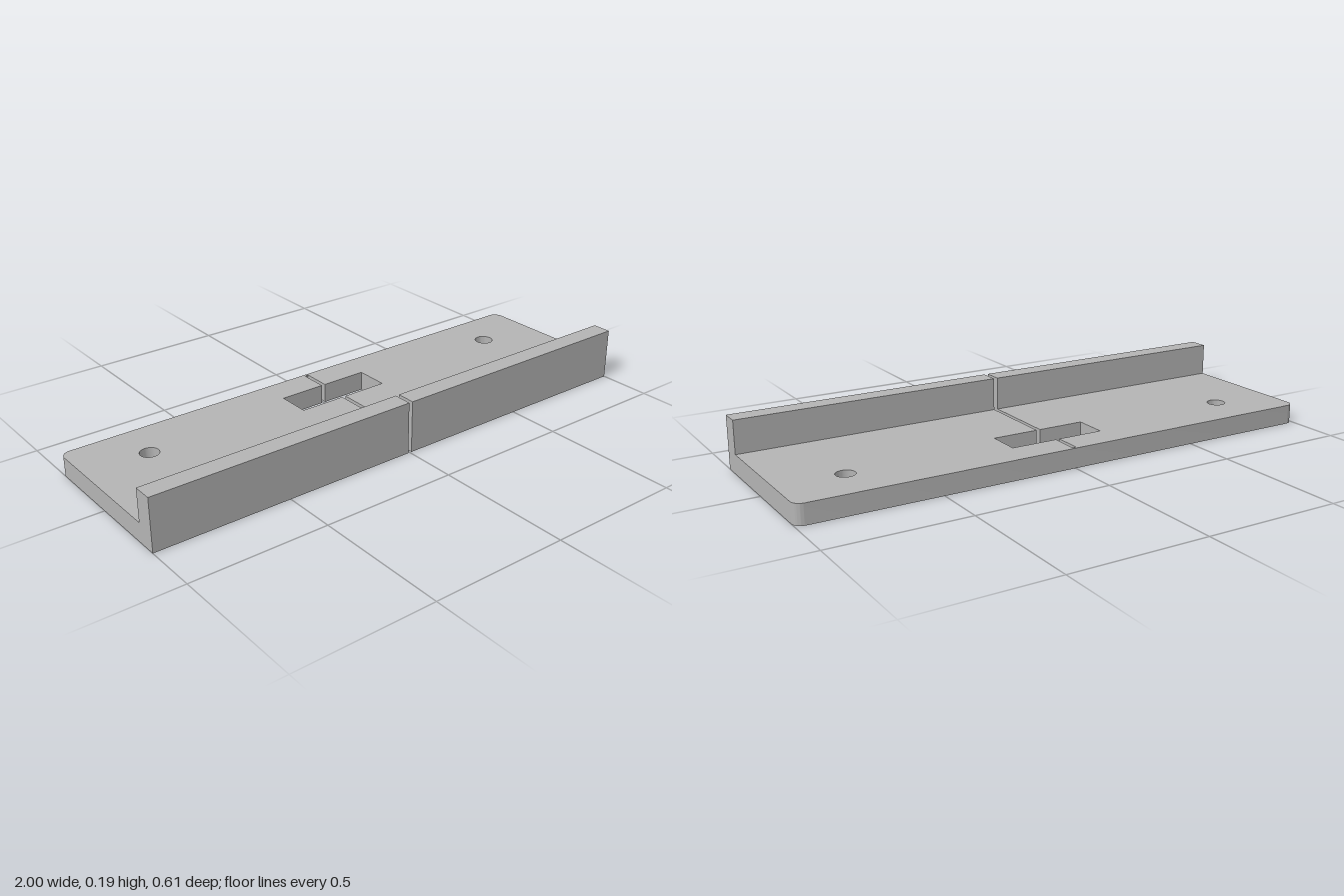
import * as THREE from 'three';
import { toCreasedNormals } from 'three/addons/utils/BufferGeometryUtils.js';

const HALF_DEPTH = 0.304, PLATE_H = 0.072, WALL_H = 0.192, WALL_T = 0.071;
const GAP = 0.007; // half width of the centre slit

export function createModel() {
  const group = new THREE.Group();
  const grey = new THREE.MeshStandardMaterial({ color: 0xb4b4b4 });
  grey.name = 'plain grey';

  // Plate outline (shape y points to the back), with slit and window as one notch
  const d = HALF_DEPTH, r = 0.034;
  const outline = new THREE.Shape();
  outline.moveTo(GAP, -d);
  outline.lineTo(1, -d);
  outline.lineTo(1, d - r);
  outline.absarc(1 - r, d - r, r, 0, Math.PI / 2, false);
  outline.lineTo(-1 + r, d);
  outline.absarc(-1 + r, d - r, r, Math.PI / 2, Math.PI, false);
  outline.lineTo(-1, -d);
  const notch = [[-GAP, -d], [-GAP, 0.066], [-0.18, 0.066], [-0.18, 0.19], [-GAP, 0.19], [-GAP, 0.295]];
  notch.forEach(([x, y]) => outline.lineTo(x, y));
  notch.reverse().forEach(([x, y]) => outline.lineTo(-x, y));

  // Screw holes
  for (const side of [-1, 1]) {
    const hole = new THREE.Path();
    hole.absarc(side * 0.762, 0.13, 0.034, 0, Math.PI * 2, true);
    outline.holes.push(hole);
  }

  const plateGeometry = new THREE.ExtrudeGeometry(outline, {
    depth: PLATE_H, bevelEnabled: false, curveSegments: 16,
  });
  plateGeometry.rotateX(-Math.PI / 2);
  const plate = new THREE.Mesh(toCreasedNormals(plateGeometry, Math.PI / 5), grey);
  plate.name = 'basePlate';
  group.add(plate);

  // Front lip, split by the slit
  for (const side of [-1, 1]) {
    const lip = new THREE.Mesh(new THREE.BoxGeometry(1 - GAP, WALL_H - PLATE_H, WALL_T), grey);
    lip.position.set(side * (1 + GAP) / 2, (WALL_H + PLATE_H) / 2, d - WALL_T / 2);
    lip.name = side > 0 ? 'leftFrontLip' : 'rightFrontLip';
    group.add(lip);
  }
  return group;
}
